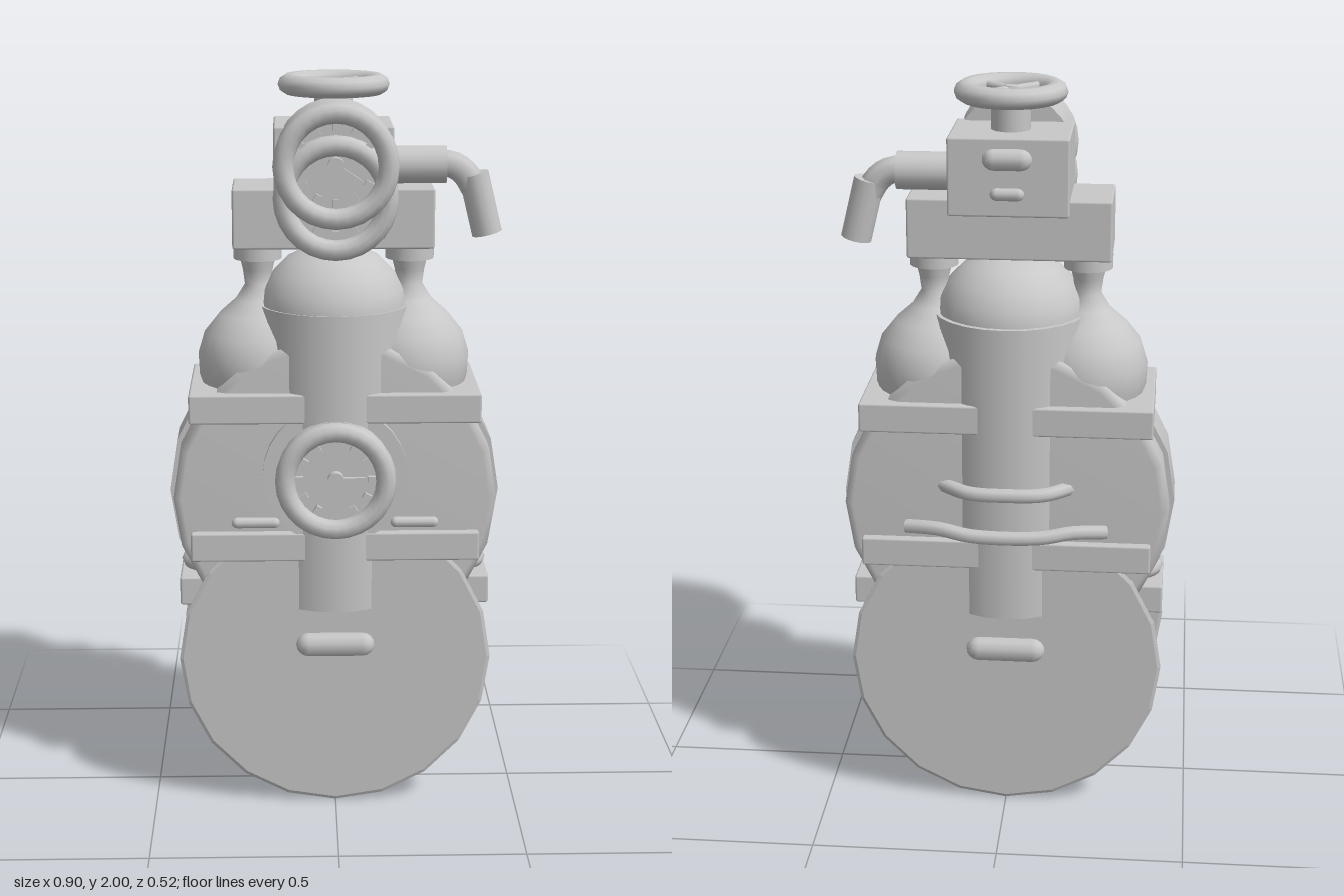
import * as THREE from 'three';
import { RoundedBoxGeometry } from 'three/addons/geometries/RoundedBoxGeometry.js';

const ZC = -0.025; // depth of the main axis

export function createModel() {
  const model = new THREE.Group();
  const grey = new THREE.MeshStandardMaterial({ color: 0xc8c8c8 });
  grey.name = 'light grey';

  const add = (name, geo, x = 0, y = 0, z = 0, parent = model) => {
    const mesh = new THREE.Mesh(geo, grey);
    mesh.name = name;
    mesh.position.set(x, y, z);
    parent.add(mesh);
    return mesh;
  };
  // Box given by its extents
  const block = (name, x0, x1, y0, y1, z0, z1) =>
    add(name, new RoundedBoxGeometry(x1 - x0, y1 - y0, z1 - z0, 1, 0.006),
      (x0 + x1) / 2, (y0 + y1) / 2, (z0 + z1) / 2);
  const lathe = (pts, sides = 24) =>
    new THREE.LatheGeometry(pts.map(p => new THREE.Vector2(p[0], p[1])), sides);
  const tube = (pts, r, seg = 24) => new THREE.TubeGeometry(
    new THREE.CatmullRomCurve3(pts.map(p => new THREE.Vector3(...p))), seg, r, 8);
  // Lying rounded grip
  const grip = (name, r, length, x, y, z) => {
    const m = add(name, new THREE.CapsuleGeometry(r, length - 2 * r, 4, 10), x, y, z);
    m.rotation.z = Math.PI / 2;
    return m;
  };

  // Round drum lying front to back, with a raised band
  const drum = add('drum', lathe([[0, -0.167], [0.415, -0.167], [0.437, -0.15],
    [0.437, 0.15], [0.415, 0.167], [0, 0.167]], 20), 0, 0.88, ZC);
  drum.rotation.x = Math.PI / 2;
  const band = add('drumBand', new THREE.CylinderGeometry(0.45, 0.45, 0.14, 20), 0, 0.88, ZC);
  band.rotation.x = Math.PI / 2;

  // Central column and dome
  add('column', new THREE.CylinderGeometry(0.207, 0.207, 0.82, 24), 0, 0.98, ZC + 0.002);
  add('dome', lathe([[0.195, 1.29], [0.2, 1.38], [0.19, 1.43], [0.165, 1.475],
    [0.125, 1.515], [0.07, 1.542], [0, 1.552]]), 0, 0, ZC + 0.008);

  // Clamping straps above and below the middle
  block('upperStrap', -0.39, 0.39, 1.095, 1.175, -0.215, 0.165);
  block('lowerStrap', -0.39, 0.39, 0.71, 0.79, -0.215, 0.165);

  for (const s of [-1, 1]) {
    // Side bottles with narrow necks
    add('bottle', lathe([[0.14, 1.13], [0.16, 1.19], [0.163, 1.25], [0.145, 1.31], [0.105, 1.36],
      [0.06, 1.4], [0.035, 1.44], [0.04, 1.48], [0.05, 1.52]]), s * 0.205, 0, ZC);
    add('neckCollar', new THREE.CylinderGeometry(0.065, 0.065, 0.04, 20), s * 0.205, 1.53, ZC);
    // Lower fittings and bell nozzles
    block('sideFitting', s > 0 ? 0.2 : -0.425, s > 0 ? 0.425 : -0.2, 0.56, 0.64, -0.135, 0.09);
    const ring = add('fittingRing', new THREE.TorusGeometry(0.055, 0.024, 8, 20), s * 0.345, 0.66, ZC);
    ring.rotation.x = Math.PI / 2;
    add('nozzleBall', new THREE.SphereGeometry(0.08, 18, 12), s * 0.23, 0.535, ZC);
    const bell = add('nozzle', lathe([[0, 0.432], [0.155, 0.432], [0.15, 0.455], [0.11, 0.485],
      [0.06, 0.51]]), s * 0.23, 0, ZC);
    bell.geometry.computeVertexNormals();
    const tip = add('nozzleTip', new THREE.SphereGeometry(0.022, 12, 10), s * 0.23, 0.37, ZC);
    tip.scale.y = 4.4;
    grip('frontLug', 0.015, 0.13, s * 0.215, 0.815, 0.145);
  }

  // Back pipes crossing the column
  add('backPipe', tube([[-0.27, 0.82, -0.19], [-0.18, 0.825, -0.215], [-0.09, 0.815, -0.235],
    [0.09, 0.815, -0.235], [0.18, 0.825, -0.215], [0.27, 0.82, -0.19]], 0.02));
  add('backPipe', tube([[-0.18, 0.94, -0.17], [-0.1, 0.935, -0.225], [0, 0.935, -0.237],
    [0.1, 0.935, -0.225], [0.18, 0.94, -0.17]], 0.02));

  // Front and back shield discs, cut flat under the strap
  const outline = new THREE.Shape();
  for (let i = 0; i < 20; i++) {
    const a = -Math.PI / 2 + i * Math.PI / 10;
    const x = 0.417 * Math.cos(a), y = Math.min(0.417 * Math.sin(a), 0.345);
    i ? outline.lineTo(x, y) : outline.moveTo(x, y);
  }
  const disc = new THREE.ExtrudeGeometry(outline, { depth: 0.004, bevelThickness: 0.004,
    bevelSize: 0.009, bevelSegments: 1 });
  add('frontShield', disc, 0, 0.428, 0.15);
  add('backShield', disc, 0, 0.428, -0.2);
  for (const z of [0.165, -0.21]) {
    const handle = grip('shieldHandle', 0.034, 0.215, 0, 0.47, z);
    handle.scale.z = 0.85;
  }

  // Dial: drum body, rim, face, tick marks and needle
  const dial = (name, y, z, depth, needleAngle) => {
    const g = new THREE.Group();
    g.name = name;
    g.position.set(0, y, z);
    model.add(g);
    const body = add('dialBody', new THREE.CylinderGeometry(0.157, 0.157, depth, 28), 0, 0, -depth / 2, g);
    body.rotation.x = Math.PI / 2;
    add('dialRim', new THREE.TorusGeometry(0.135, 0.027, 10, 28), 0, 0, 0.024, g);
    for (let i = 0; i < 11; i++) {
      const a = (-150 + i * 30) * Math.PI / 180 + (needleAngle ? 0 : Math.PI / 2);
      const tick = add('tick', new THREE.BoxGeometry(0.022, 0.016, 0.014),
        0.098 * Math.cos(a), 0.098 * Math.sin(a), 0.005, g);
      tick.rotation.z = a;
    }
    const hub = add('needleHub', new THREE.CylinderGeometry(0.022, 0.022, 0.024, 14), 0, 0, 0.012, g);
    hub.rotation.x = Math.PI / 2;
    const needle = add('needle', new THREE.BoxGeometry(0.1, 0.014, 0.012),
      0.03 * Math.cos(needleAngle), 0.03 * Math.sin(needleAngle), 0.014, g);
    needle.rotation.z = needleAngle;
  };
  dial('upperDial', 1.79, 0.21, 0.14, -0.6);
  dial('lowerDial', 1.705, 0.185, 0.12, -0.6);
  dial('bellyDial', 0.95, 0.185, 0.06, 0);
  const backing = add('dialBacking', new THREE.CylinderGeometry(0.195, 0.195, 0.03, 28), 0, 0.95, 0.148);
  backing.rotation.x = Math.PI / 2;

  // Valve blocks on top
  block('valveManifold', -0.27, 0.265, 1.55, 1.71, -0.13, 0.08);
  block('valveBlock', -0.16, 0.155, 1.67, 1.875, -0.152, 0.1);
  grip('blockStud', 0.03, 0.13, 0, 1.82, -0.147);
  grip('blockStud', 0.018, 0.09, 0, 1.73, -0.148);

  // Outlet pipe on the left
  const stub = add('outletStub', new THREE.CylinderGeometry(0.05, 0.05, 0.16, 18), 0.22, 1.76, ZC);
  stub.rotation.z = Math.PI / 2;
  add('outletElbow', tube([[0.27, 1.765, ZC], [0.32, 1.758, ZC], [0.352, 1.735, ZC],
    [0.377, 1.695, ZC]], 0.036, 8));
  const spout = add('spout', new THREE.CylinderGeometry(0.041, 0.041, 0.165, 14), 0.393, 1.655, ZC);
  spout.rotation.z = 0.24;

  // Hand wheel
  add('wheelStem', new THREE.CylinderGeometry(0.052, 0.052, 0.08, 18), 0, 1.91, ZC);
  add('wheelHub', new THREE.CylinderGeometry(0.016, 0.03, 0.045, 12), 0, 1.965, ZC);
  const wheel = add('handWheel', new THREE.TorusGeometry(0.117, 0.031, 10, 24), 0, 1.973, ZC);
  wheel.rotation.x = Math.PI / 2;
  wheel.scale.z = 0.87;
  for (const s of [-1, 1]) {
    const spoke = add('wheelSpoke', new THREE.CylinderGeometry(0.012, 0.012, 0.22, 8), 0, 1.975, ZC);
    spoke.rotation.set(Math.PI / 2, 0, s * Math.PI / 4);
  }
  return model;
}
